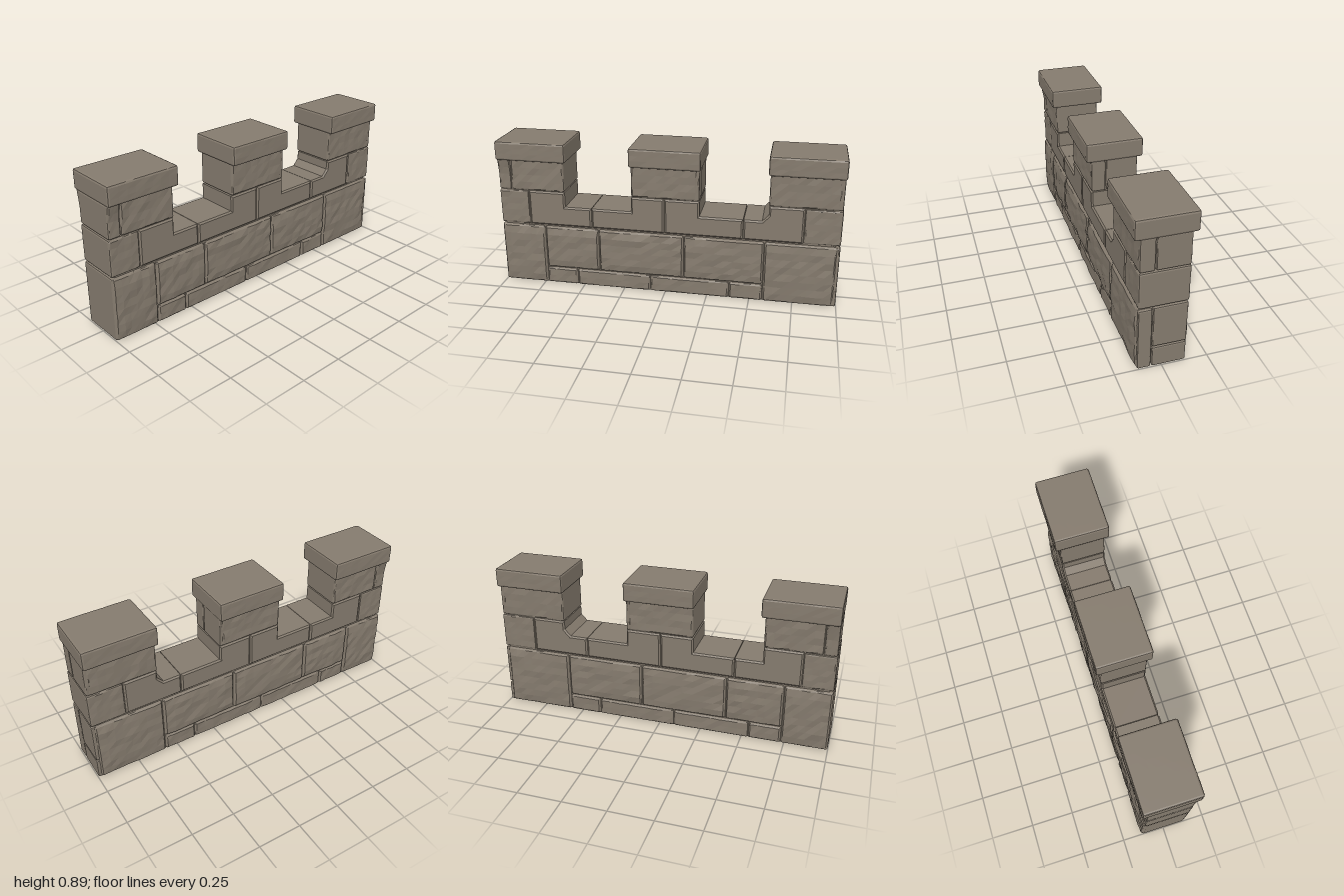
import * as THREE from 'three';

const stoneMaterial = new THREE.MeshStandardMaterial({ color: 0x857b6e });
const GAP = 0.003;

// Repeatable pseudo-random value in -1..1 for a point
function noise(x, y, z) {
  const s = Math.sin(x * 127.1 + y * 311.7 + z * 74.7) * 43758.5453;
  return (s - Math.floor(s)) * 2 - 1;
}

// Flat-faceted mesh
function facet(name, geometry) {
  const g = geometry.index ? geometry.toNonIndexed() : geometry;
  g.computeVertexNormals();
  const mesh = new THREE.Mesh(g, stoneMaterial);
  mesh.name = name;
  return mesh;
}

// Chipped-edge block; bulge swells front and back, rough dents them
function block(name, [x0, x1], [y0, y1], [z0, z1], { bulge = 0, rough = 0.002, r = 0.01, flare = 0 } = {}) {
  const size = [x1 - x0 - GAP, y1 - y0 - GAP, z1 - z0];
  const centre = [(x0 + x1) / 2, (y0 + y1) / 2, (z0 + z1) / 2];
  const segs = size.map((s) => Math.max(3, Math.min(10, Math.round(s / 0.045) + 2)));
  const geo = new THREE.BoxGeometry(...size, ...segs);
  const pos = geo.attributes.position;
  for (let i = 0; i < pos.count; i++) {
    const p = [pos.getX(i), pos.getY(i), pos.getZ(i)];
    const inner = [], t = [];
    for (let a = 0; a < 3; a++) {
      // Even grid inside, with one narrow ring along every edge
      const h = size[a] / 2, n = segs[a];
      const k = Math.round((p[a] / size[a] + 0.5) * n);
      t[a] = p[a] / h;
      if (k > 0 && k < n) p[a] = (h - r) * (((k - 1) / (n - 2)) * 2 - 1);
      inner[a] = Math.max(r - h, Math.min(h - r, p[a]));
    }
    const d = p.map((v, a) => v - inner[a]);
    const len = Math.hypot(...d) || 1;
    const edge = t.filter((v) => Math.abs(v) > 0.999).length;
    const out = inner.map((v, a) => v + (d[a] / len) * r);
    const n = noise(out[0] + centre[0], out[1] + centre[1], out[2] + centre[2]);
    if (Math.abs(t[2]) > 0.999 && edge === 1) {
      const swell = Math.min(1, 2.2 * (1 - Math.abs(t[1]))) * Math.min(1, 3 * (1 - Math.abs(t[0])));
      out[2] += Math.sign(t[2]) * (bulge * swell + rough * n);
    } else if (edge > 1) {
      const chip = 1 - 0.006 * Math.max(0, n);
      out[1] *= chip;
      out[2] *= chip;
    }
    // Flared head below a cap
    if (flare && t[1] > 0.1) out[2] *= 1 + flare * (t[1] - 0.1);
    pos.setXYZ(i, out[0] + centre[0], out[1] + centre[1], out[2] + centre[2]);
  }
  return facet(name, geo);
}

// Stepped stone cut from an outline, running through the wall
function steppedStone(name, points) {
  const b = 0.009, depth = 0.266;
  const shape = new THREE.Shape(points.map(([x, y]) => new THREE.Vector2(x, y)));
  const geo = new THREE.ExtrudeGeometry(shape, {
    depth: depth - 2 * b, bevelEnabled: true, bevelSegments: 1,
    bevelSize: b, bevelThickness: b, bevelOffset: -b - GAP / 2,
  });
  geo.translate(0, 0, b - depth / 2);
  return facet(name, geo);
}

// Plain recessed mortar
function mortar(x0, x1, y0, y1) {
  const geo = new THREE.BoxGeometry(x1 - x0, y1 - y0, 0.246);
  geo.translate((x0 + x1) / 2, (y0 + y1) / 2, 0);
  return facet('mortarCore', geo);
}

export function createModel() {
  const wall = new THREE.Group();
  wall.name = 'battlementWall';
  const add = (...parts) => wall.add(...parts);
  const depth = [-0.133, 0.133];
  const rugged = { bulge: 0.011, rough: 0.004 };

  // Mortar cores
  add(mortar(-0.975, 0.97, 0.003, 0.485));
  for (const [a, b] of [[-0.98, -0.615], [-0.185, 0.185], [0.615, 0.97]]) add(mortar(a, b, 0.45, 0.8));

  // Full-height base corner stones
  add(block('leftEndStone', [-1, -0.73], [0, 0.375], depth, rugged));
  add(block('rightEndStone', [0.575, 0.982], [0, 0.375], depth, rugged));

  // Large middle course
  const large = [-0.73, -0.4, 0.11, 0.575];
  for (let i = 0; i < 3; i++) {
    add(block('largeStone', [large[i], large[i + 1]], [0.105, 0.375], depth, rugged));
  }

  // Low footing course
  const footing = [-0.73, -0.54, -0.09, 0.38, 0.575];
  for (let i = 0; i < 4; i++) {
    add(block('footingStone', [footing[i], footing[i + 1]], [0, 0.105], depth, { bulge: 0.004, rough: 0.003 }));
  }

  // Facing stones on the right end of the base
  add(block('endSlab', [0.965, 0.998], [0, 0.37], [0.058, 0.13], { r: 0.008 }));
  add(block('endUpperStone', [0.965, 0.998], [0.128, 0.375], [-0.13, 0.052], { r: 0.008 }));
  add(block('endLowerStone', [0.965, 0.998], [0, 0.123], [-0.13, 0.052], { r: 0.008 }));

  // Upper course, stepping down into the two gaps
  const lo = 0.38, mid = 0.502, hi = 0.592;
  add(block('upperLeftStone', [-1, -0.82], [lo, hi], depth));
  add(steppedStone('steppedStone', [[-0.82, lo], [-0.44, lo], [-0.44, mid], [-0.598, mid], [-0.598, hi], [-0.82, hi]]));
  add(steppedStone('steppedStone', [[-0.44, lo], [-0.005, lo], [-0.005, hi], [-0.202, hi], [-0.202, mid], [-0.44, mid]]));
  add(steppedStone('steppedStone', [[-0.005, lo], [0.45, lo], [0.45, mid], [0.2, mid], [0.2, hi], [-0.005, hi]]));
  add(steppedStone('steppedStone', [[0.45, lo], [0.79, lo], [0.79, hi], [0.59, hi], [0.59, 0.54], [0.555, mid], [0.45, mid]]));
  add(block('upperRightStone', [0.79, 0.998], [lo, hi], depth));

  // Merlon stones
  const rise = [0.592, 0.785];
  add(block('merlonCornerStone', [-0.998, -0.922], rise, depth, { flare: 0.17 }));
  add(block('merlonStone', [-0.922, -0.597], rise, depth, { rough: 0.003 }));
  add(block('merlonStone', [-0.2, 0.185], rise, depth, { rough: 0.003 }));
  add(block('merlonStone', [0.588, 0.98], rise, depth, { rough: 0.003 }));

  // Split facing stones on merlon ends
  for (const x of [0.2, 0.995]) {
    add(block('merlonFacing', [x - 0.035, x], rise, [0.052, 0.131], { r: 0.008 }));
    add(block('merlonFacing', [x - 0.035, x], rise, [-0.131, 0.046], { r: 0.008 }));
  }

  // Overhanging capstones
  for (const [a, b] of [[-1, -0.577], [-0.208, 0.208], [0.578, 1]]) {
    add(block('capstone', [a, b], [0.776, 0.892], [-0.162, 0.162], { r: 0.012, rough: 0.001 }));
  }
  return wall;
}
